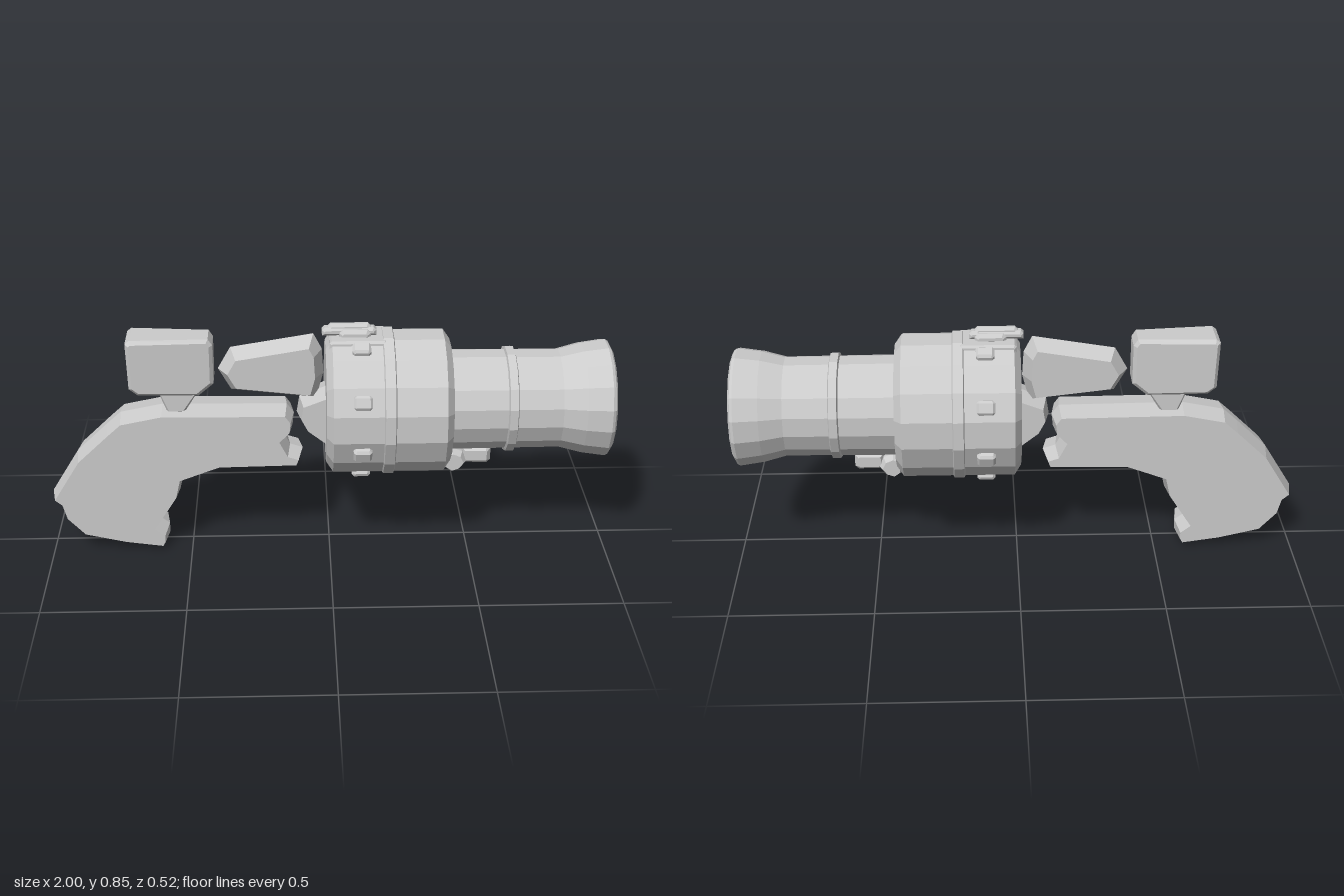
import * as THREE from 'three';

const AXIS_Y = 0.55, SIDES = 16;

export function createModel() {
  const model = new THREE.Group();
  const material = new THREE.MeshStandardMaterial({ color: 0xcccccc, flatShading: true });

  function add(name, geometry, parent = model) {
    const mesh = new THREE.Mesh(geometry, material);
    mesh.name = name;
    parent.add(mesh);
    return mesh;
  }

  // Faceted turned part along x; profile is [x, radius across flats]
  function turned(name, profile) {
    const k = 1 / Math.cos(Math.PI / SIDES);
    const points = profile.map(([x, r]) => new THREE.Vector2(r * k, x));
    const g = new THREE.LatheGeometry(points, SIDES, Math.PI / SIDES);
    g.rotateZ(-Math.PI / 2);
    add(name, g).position.y = AXIS_Y;
  }

  // Side outline given thickness along z, narrowing by `inset` from the middle band to the sides
  function slab(outline, halfWidth, inset, band = 0.002) {
    const shape = new THREE.Shape(outline.map(p => new THREE.Vector2(...p)));
    const g = new THREE.ExtrudeGeometry(shape, {
      depth: band, bevelEnabled: true, bevelSegments: 1,
      bevelThickness: halfWidth - band / 2, bevelSize: inset, bevelOffset: -inset,
    });
    return g.translate(0, 0, -band / 2);
  }

  // Chamfered block with its centre at the origin
  function block(w, h, d, c = 0.008) {
    const x = w / 2, y = h / 2;
    return slab([[-x, -y], [x, -y], [x, y - c], [x - c, y], [c - x, y], [-x, y - c]], d / 2, c, d - 2 * c);
  }

  // Curved grip with a shallow ridge round its edge
  add('grip', slab([
    [-1, 0.205], [-0.9, 0.366], [-0.79, 0.47], [-0.74, 0.515], [-0.59, 0.545], [-0.15, 0.54],
    [-0.125, 0.505], [-0.13, 0.46], [-0.163, 0.425], [-0.14, 0.38], [-0.095, 0.365], [-0.11, 0.325],
    [-0.39, 0.32], [-0.445, 0.3], [-0.525, 0.27], [-0.54, 0.205], [-0.617, 0.085], [-0.585, 0.06],
    [-0.585, 0.025], [-0.6, 0], [-0.74, 0.02], [-0.89, 0.055], [-0.955, 0.125], [-0.97, 0.18],
  ], 0.088, 0.012));

  // Rear block, tapering towards the front, on a small foot
  const rear = slab([
    [-0.7, 0.63], [-0.67, 0.605], [-0.46, 0.595], [-0.405, 0.64],
    [-0.405, 0.785], [-0.42, 0.808], [-0.69, 0.812], [-0.705, 0.8],
  ], 0.075, 0.012, 0.12);
  const p = rear.attributes.position;
  for (let i = 0; i < p.count; i++) {
    const along = (p.getX(i) + 0.705) / 0.3;
    p.setZ(i, p.getZ(i) * (1 - 0.3 * along));
  }
  add('rearBlock', rear);
  add('rearBlockFoot', slab([[-0.57, 0.53], [-0.51, 0.53], [-0.46, 0.61], [-0.6, 0.61]], 0.05, 0.008, 0.08));

  // Faceted frame joining the rear block to the drum
  add('upperFrame', slab([
    [-0.39, 0.68], [-0.345, 0.6], [-0.045, 0.565], [-0.02, 0.66], [-0.025, 0.75], [-0.055, 0.808], [-0.345, 0.76],
  ], 0.062, 0.03));
  add('lowerFrame', slab([
    [-0.115, 0.51], [-0.088, 0.457], [-0.01, 0.395], [0.03, 0.4], [0.03, 0.61], [-0.01, 0.607], [-0.105, 0.57],
  ], 0.08, 0.015));

  // Drum with its middle band
  turned('drum', [[-0.013, 0], [-0.013, 0.215], [0.01, 0.25], [0.4, 0.25], [0.425, 0.215], [0.425, 0]]);
  turned('drumBand', [[0.18, 0.24], [0.187, 0.258], [0.222, 0.258], [0.23, 0.24]]);

  // Barrel, ring and flared muzzle
  turned('barrel', [
    [0.4, 0.176], [0.81, 0.173], [0.89, 0.194], [0.975, 0.206], [0.985, 0.2], [0.993, 0.186],
    [0.993, 0.133], [1, 0.13], [1, 0],
  ]);
  turned('barrelRing', [[0.615, 0.165], [0.622, 0.185], [0.65, 0.185], [0.657, 0.165]]);

  // Eight studs round the drum
  const studs = new THREE.Group();
  studs.name = 'drumStuds';
  studs.position.y = AXIS_Y;
  model.add(studs);
  for (let i = 0; i < 8; i++) {
    const turn = new THREE.Group();
    turn.rotation.x = (i + 0.5) * Math.PI / 4;
    studs.add(turn);
    add('stud', block(0.064, 0.04, 0.05), turn).position.set(0.11, 0.251, 0);
  }

  // Stepped catch on top of the drum
  add('topPlate', block(0.2, 0.03, 0.15)).position.set(0.1, 0.79, 0);
  add('topCatchBase', block(0.11, 0.035, 0.07, 0.012)).position.set(0.09, 0.811, 0);
  add('topCatchSlide', block(0.19, 0.03, 0.044, 0.01)).position.set(0.07, 0.819, 0);
  add('topCatchRidge', block(0.15, 0.025, 0.03, 0.01)).position.set(0.07, 0.833, 0);

  // Cross pin and lug under the barrel
  add('underPin', slab([
    [0.405, 0.315], [0.435, 0.293], [0.47, 0.305], [0.492, 0.335], [0.475, 0.37], [0.44, 0.385], [0.405, 0.37],
  ], 0.088, 0.012, 0.12));
  add('underLug', slab([
    [0.47, 0.32], [0.565, 0.318], [0.578, 0.33], [0.578, 0.375], [0.565, 0.388], [0.47, 0.388],
  ], 0.065, 0.015, 0.09));

  return model;
}
